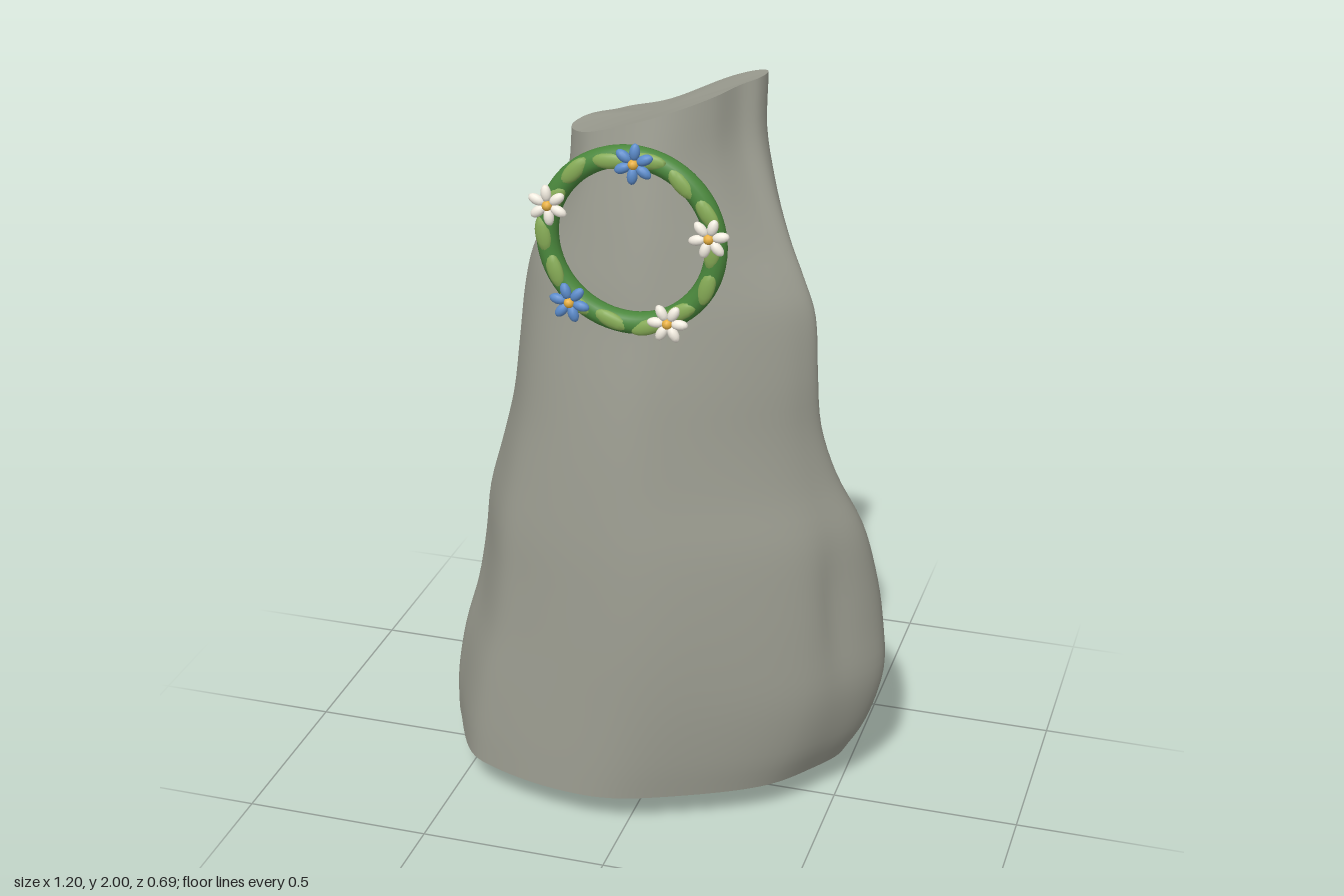
import * as THREE from 'three';

const mat = (color) => new THREE.MeshStandardMaterial({ color });

// Matching [x, z] outlines at three heights, running left, front, right, back
const BASE = [[-0.6, -0.06], [-0.555, 0.05], [-0.45, 0.22], [-0.35, 0.273], [-0.18, 0.318], [0, 0.325], [0.2, 0.26],
  [0.43, 0.14], [0.53, 0.03], [0.6, -0.09], [0.58, -0.17], [0.47, -0.235], [0.2, -0.325], [0, -0.345],
  [-0.2, -0.34], [-0.37, -0.32], [-0.48, -0.25], [-0.56, -0.13]];
const MIDDLE = [[-0.365, -0.04], [-0.345, 0.04], [-0.29, 0.13], [-0.22, 0.185], [-0.11, 0.225], [0.01, 0.235],
  [0.14, 0.195], [0.29, 0.125], [0.38, 0.065], [0.415, 0.015], [0.388, -0.025], [0.335, -0.12], [0.16, -0.235],
  [0.02, -0.265], [-0.12, -0.265], [-0.235, -0.245], [-0.3, -0.19], [-0.345, -0.12]];
const TOP = [[-0.23, -0.03], [-0.215, 0.03], [-0.18, 0.085], [-0.14, 0.12], [-0.07, 0.138], [0.01, 0.14], [0.09, 0.115],
  [0.16, 0.065], [0.208, 0], [0.25, -0.03], [0.26, -0.07], [0.24, -0.11], [0.17, -0.155], [0.08, -0.178],
  [-0.02, -0.182], [-0.12, -0.178], [-0.175, -0.13], [-0.21, -0.085]];

// Height, left x, right x, front z, back z
const ROWS = [
  [0.09, -0.60, 0.50, 0.33, -0.34], [0.2, -0.598, 0.56, 0.33, -0.34], [0.35, -0.573, 0.60, 0.328, -0.34],
  [0.5, -0.53, 0.592, 0.325, -0.337], [0.65, -0.502, 0.572, 0.319, -0.332], [0.8, -0.482, 0.54, 0.31, -0.325],
  [0.95, -0.44, 0.475, 0.296, -0.315], [1.1, -0.402, 0.435, 0.28, -0.303], [1.25, -0.382, 0.425, 0.26, -0.287],
  [1.4, -0.365, 0.415, 0.235, -0.267], [1.5, -0.342, 0.382, 0.221, -0.252], [1.6, -0.298, 0.338, 0.204, -0.234],
  [1.7, -0.262, 0.293, 0.186, -0.215], [1.8, -0.237, 0.262, 0.167, -0.198], [1.92, -0.23, 0.26, 0.143, -0.182]];

const AROUND = 120, UP = 56;
const { lerp, smoothstep } = THREE.MathUtils;

function outline(points) {
  const curve = new THREE.CatmullRomCurve3(points.map(([x, z]) => new THREE.Vector3(x, 0, z)), true);
  const p = Array.from({ length: AROUND }, (_, i) => curve.getPoint(i / AROUND));
  const box = new THREE.Box3().setFromPoints(p), size = box.getSize(new THREE.Vector3());
  return p.map((v) => [(v.x - box.min.x) / size.x, (v.z - box.min.z) / size.z]);
}

const bump = (d, w) => Math.exp(-(d * d) / (w * w));

function stoneRings() {
  const base = outline(BASE), middle = outline(MIDDLE), top = outline(TOP);
  const rowCurve = (a, b) => new THREE.CatmullRomCurve3(
    ROWS.map((r) => new THREE.Vector3(r[a], r[0], r[b])), false, 'catmullrom', 0.5);
  const xs = rowCurve(1, 2), zs = rowCurve(4, 3);
  return Array.from({ length: UP + 1 }, (_, j) => {
    const t = j / UP, X = xs.getPoint(t), Z = zs.getPoint(t);
    const toMiddle = smoothstep(t, 0.2, 0.6), toTop = smoothstep(t, 0.66, 1);
    const lift = smoothstep(X.y, 1.55, 1.92);
    return base.map((b, i) => {
      const [nx, nz] = [0, 1].map((k) => lerp(lerp(b[k], middle[i][k], toMiddle), top[i][k], toTop));
      let x = lerp(X.x, X.z, nx);
      const z = lerp(Z.x, Z.z, nz);
      // Shallow worn hollow on one flank
      if (nx > 0.6) x -= 0.016 * bump(X.y - 0.62, 0.2) * bump(z - 0.05, 0.04);
      // The rim slopes up to one side and sags a little at the back
      const sag = 0.035 * bump(x + 0.04, 0.16) * smoothstep(-z, 0.06, 0.16);
      return new THREE.Vector3(x, X.y + lift * (0.33 * x - 0.006 - sag), z);
    });
  });
}

function meshGeometry(points, index) {
  const g = new THREE.BufferGeometry().setFromPoints(points);
  g.setIndex(index);
  g.computeVertexNormals();
  return g;
}

// Fan from a centre point to a ring
function capGeometry(ring, centre, up) {
  const index = [];
  for (let i = 0; i < AROUND; i++) {
    const n = (i + 1) % AROUND;
    index.push(AROUND, up ? i : n, up ? n : i);
  }
  return meshGeometry([...ring, centre], index);
}

function createStone() {
  const stone = new THREE.Group();
  stone.name = 'standingStone';
  const material = mat(0x9b9c90);
  const rings = stoneRings(), index = [];
  for (let j = 0; j < UP; j++) for (let i = 0; i < AROUND; i++) {
    const n = (i + 1) % AROUND, a = j * AROUND + i, b = j * AROUND + n;
    index.push(a, b, a + AROUND, b, b + AROUND, a + AROUND);
  }
  const add = (name, geometry) => {
    const m = new THREE.Mesh(geometry, material);
    m.name = name;
    stone.add(m);
  };
  add('stoneSides', meshGeometry(rings.flat(), index));
  add('stoneTop', capGeometry(rings[UP], new THREE.Vector3(0, 1.895, -0.02), true));
  add('stoneUnderside', capGeometry(rings[0], new THREE.Vector3(-0.07, 0, -0.02), false));
  return stone;
}

function createFlower(petalMaterial, centreMaterial) {
  const flower = new THREE.Group();
  const petalShape = new THREE.SphereGeometry(1, 12, 8);
  for (let k = 0; k < 6; k++) {
    const a = (k / 6) * Math.PI * 2;
    const petal = new THREE.Mesh(petalShape, petalMaterial);
    petal.name = 'petal';
    petal.scale.set(0.022, 0.013, 0.012);
    petal.position.set(Math.cos(a) * 0.03, Math.sin(a) * 0.03, 0);
    petal.rotation.z = a;
    flower.add(petal);
  }
  const centre = new THREE.Mesh(new THREE.SphereGeometry(0.013, 12, 8), centreMaterial);
  centre.name = 'flowerCentre';
  centre.position.z = 0.003;
  flower.add(centre);
  return flower;
}

function createWreath() {
  const wreath = new THREE.Group();
  wreath.name = 'wreath';
  wreath.position.set(0.016, 1.66, 0.28);
  const R = 0.213;
  const hoop = new THREE.Mesh(new THREE.TorusGeometry(R, 0.028, 14, 72), mat(0x4a873c));
  hoop.name = 'wreathRing';
  wreath.add(hoop);

  // Leaves lying along the ring
  const leafShape = new THREE.SphereGeometry(1, 12, 8), leafMaterial = mat(0x86ab56);
  for (let k = 0; k < 14; k++) {
    const a = (k / 14) * Math.PI * 2, side = k % 2 ? 1 : -1, r = R + side * 0.004;
    const leaf = new THREE.Mesh(leafShape, leafMaterial);
    leaf.name = 'leaf';
    leaf.scale.set(0.047, 0.02, 0.012);
    leaf.position.set(Math.cos(a) * r, Math.sin(a) * r, 0.021);
    leaf.rotation.z = a + Math.PI / 2 + side * 0.15;
    wreath.add(leaf);
  }

  // Five flowers evenly spaced, floating just ahead of the ring
  const white = mat(0xf2ece0), blue = mat(0x5c8ccb), yellow = mat(0xe8b040);
  [blue, white, white, blue, white].forEach((petals, k) => {
    const a = THREE.MathUtils.degToRad(84 - 72 * k);
    const flower = createFlower(petals, yellow);
    flower.name = 'flower';
    flower.position.set(Math.cos(a) * R, Math.sin(a) * R, 0.05);
    flower.rotation.z = a;
    wreath.add(flower);
  });
  return wreath;
}

export function createModel() {
  const model = new THREE.Group();
  model.name = 'stoneWithWreath';
  model.add(createStone(), createWreath());
  return model;
}
